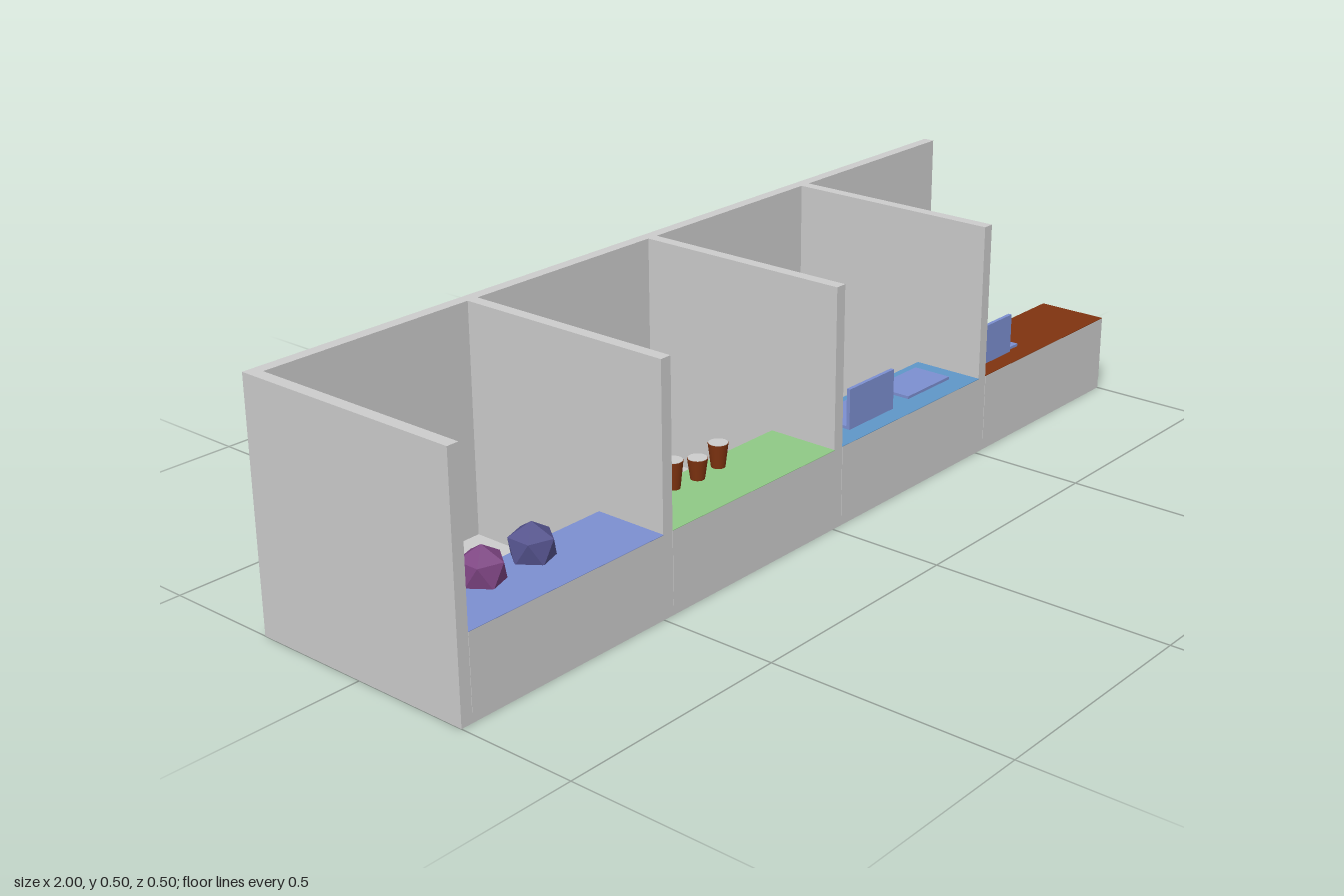
import * as THREE from 'three';

const GREY = 0xcccccc;

function material(color = GREY, flatShading = false) {
  return new THREE.MeshStandardMaterial({ color, flatShading });
}

// Box given by its lower and upper limit on each axis
function box(parent, name, [x0, x1], [y0, y1], [z0, z1], color) {
  const mesh = new THREE.Mesh(new THREE.BoxGeometry(x1 - x0, y1 - y0, z1 - z0), material(color));
  mesh.position.set((x0 + x1) / 2, (y0 + y1) / 2, (z0 + z1) / 2);
  mesh.name = name;
  parent.add(mesh);
}

export function createModel() {
  const model = new THREE.Group();
  model.name = 'marketStalls';
  const wall = 0.025, height = 0.503, depth = 0.252, counterTop = 0.17;

  // Floor and back wall
  box(model, 'floor', [-1, 1], [0, 0.026], [-depth, depth]);
  box(model, 'backWall', [-1, 1], [0.026, height], [-depth, -depth + wall]);

  // Four stalls: a dividing wall on one side and a counter with a coloured top
  const tops = [0x7c8fd0, 0x8fc985, 0x5f96c8, 0x7f3310];
  tops.forEach((color, i) => {
    const x = -1 + i * 0.5;
    const stall = new THREE.Group();
    stall.name = 'stall' + (i + 1);
    box(stall, 'divider', [x, x + wall], [0.026, height], [-depth + wall, depth]);
    box(stall, 'counter', [x + wall, x + 0.5], [0.02, counterTop - 0.001], [0.096, 0.253]);
    box(stall, 'counterTop', [x + wall, x + 0.5], [counterTop - 0.001, counterTop], [0.096, 0.253], color);
    model.add(stall);
  });

  // Faceted balls on the first counter, one corner pointing up
  for (const [x, color] of [[-0.83, 0x7d4482], [-0.71, 0x54528c]]) {
    const geometry = new THREE.IcosahedronGeometry(0.048, 0).rotateZ(-Math.atan(2 / (1 + Math.sqrt(5))));
    const ball = new THREE.Mesh(geometry, material(color, true));
    ball.position.set(x, 0.189, 0.135);
    ball.name = 'facetedBall';
    model.add(ball);
  }

  // Tapered cups with pale lids on the second counter
  for (const [x, z, h] of [[-0.335, 0.13, 0.056], [-0.273, 0.137, 0.042], [-0.205, 0.13, 0.049]]) {
    const cup = new THREE.Group();
    cup.name = 'cup';
    cup.position.set(x, counterTop, z);
    const body = new THREE.Mesh(new THREE.CylinderGeometry(0.02, 0.014, h, 24), material(0x7f3310));
    body.position.y = h / 2;
    body.name = 'cupBody';
    const lid = new THREE.Mesh(new THREE.CylinderGeometry(0.019, 0.019, 0.001, 24), material());
    lid.position.y = h + 0.0005;
    lid.name = 'cupLid';
    cup.add(body, lid);
    model.add(cup);
  }

  // Laptops: keyboards lie flat, screens stand towards the front
  const blue = 0x7c8fd0;
  for (const x of [0.1, 0.31, 0.573]) {
    box(model, 'laptopBase', [x, x + 0.147], [counterTop, 0.176], [0.12, 0.206], blue);
  }
  for (const x of [0.1, 0.533]) {
    box(model, 'laptopScreen', [x, x + 0.147], [counterTop, 0.256], [0.205, 0.213], blue);
  }

  // Panel hung on the last dividing wall
  box(model, 'wallPanel', [0.522, 0.545], [0.26, 0.46], [-0.223, 0.013]);

  return model;
}
